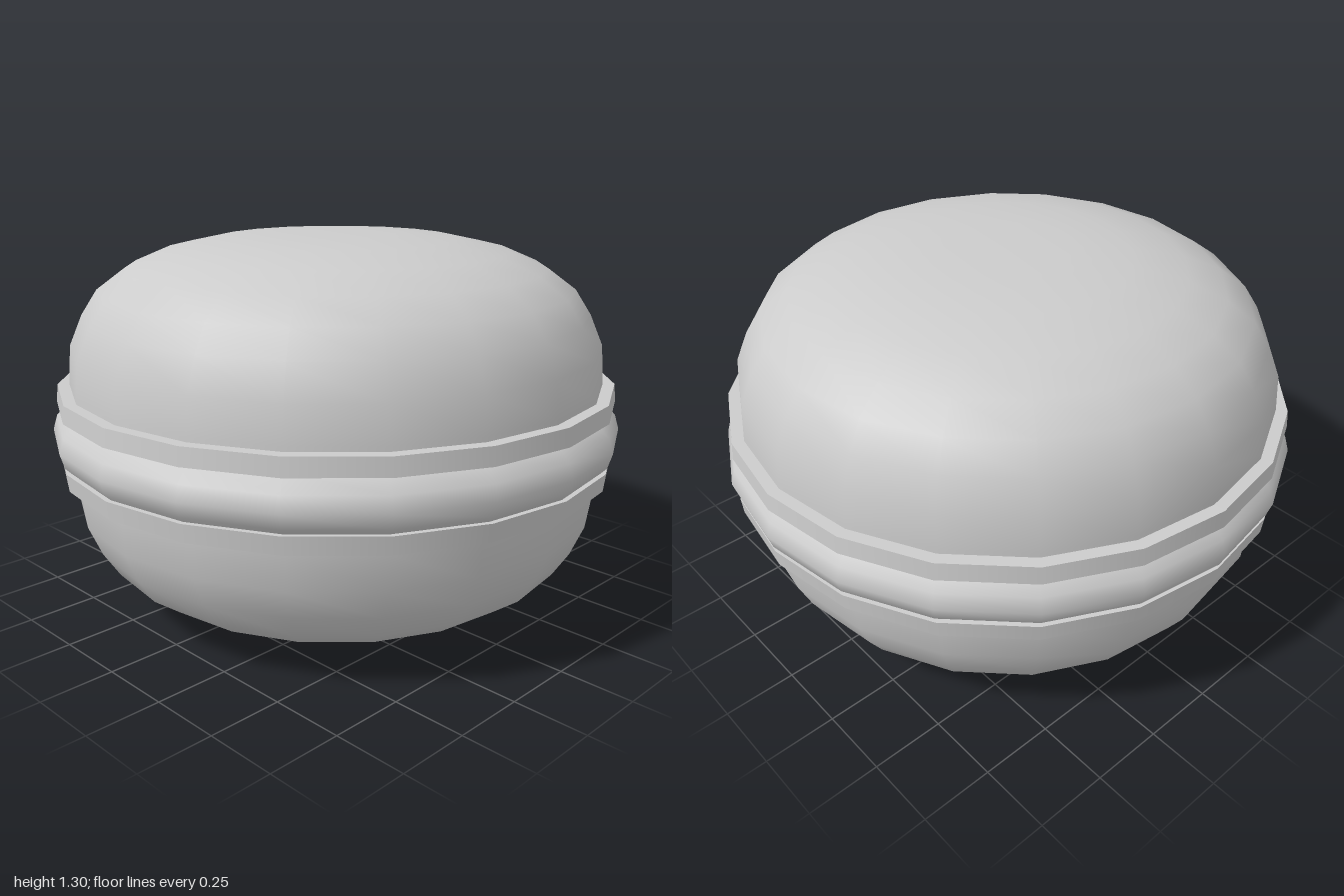
import * as THREE from 'three';

const SIDES = 20;
const MIDDLE = 0.65;

export function createModel() {
  const group = new THREE.Group();
  const material = new THREE.MeshStandardMaterial({ color: 0xcccccc });
  const lathe = (points) =>
    new THREE.LatheGeometry(points.map(([r, y]) => new THREE.Vector2(r, y)), SIDES);

  // Domed biscuit, heights measured from the middle plane
  const shellGeometry = lathe([
    [0.94, 0.085], [0.935, 0.16], [0.925, 0.28], [0.88, 0.385], [0.825, 0.47],
    [0.73, 0.54], [0.6, 0.595], [0.42, 0.634], [0.21, 0.65], [0, 0.65],
  ]);
  // Thin crisp-edged foot around the rim of each biscuit
  const footGeometry = new THREE.CylinderGeometry(0.976, 0.982, 0.06, SIDES);
  footGeometry.translate(0, 0.115, 0);

  // The lower half is the upper half turned over
  for (const [name, turn] of [['upper', 0], ['lower', Math.PI]]) {
    const half = new THREE.Group();
    half.name = name + 'Half';
    const shell = new THREE.Mesh(shellGeometry, material);
    shell.name = name + 'Shell';
    const foot = new THREE.Mesh(footGeometry, material);
    foot.name = name + 'Foot';
    half.add(shell, foot);
    half.position.y = MIDDLE;
    half.rotation.x = turn;
    group.add(half);
  }

  // Bulging cream filling between the feet
  const filling = new THREE.Mesh(lathe([
    [0.87, 0.52], [0.94, 0.54], [0.985, 0.585], [1, 0.635],
    [0.985, 0.685], [0.94, 0.733], [0.87, 0.75],
  ]), material);
  filling.name = 'filling';
  group.add(filling);

  return group;
}
